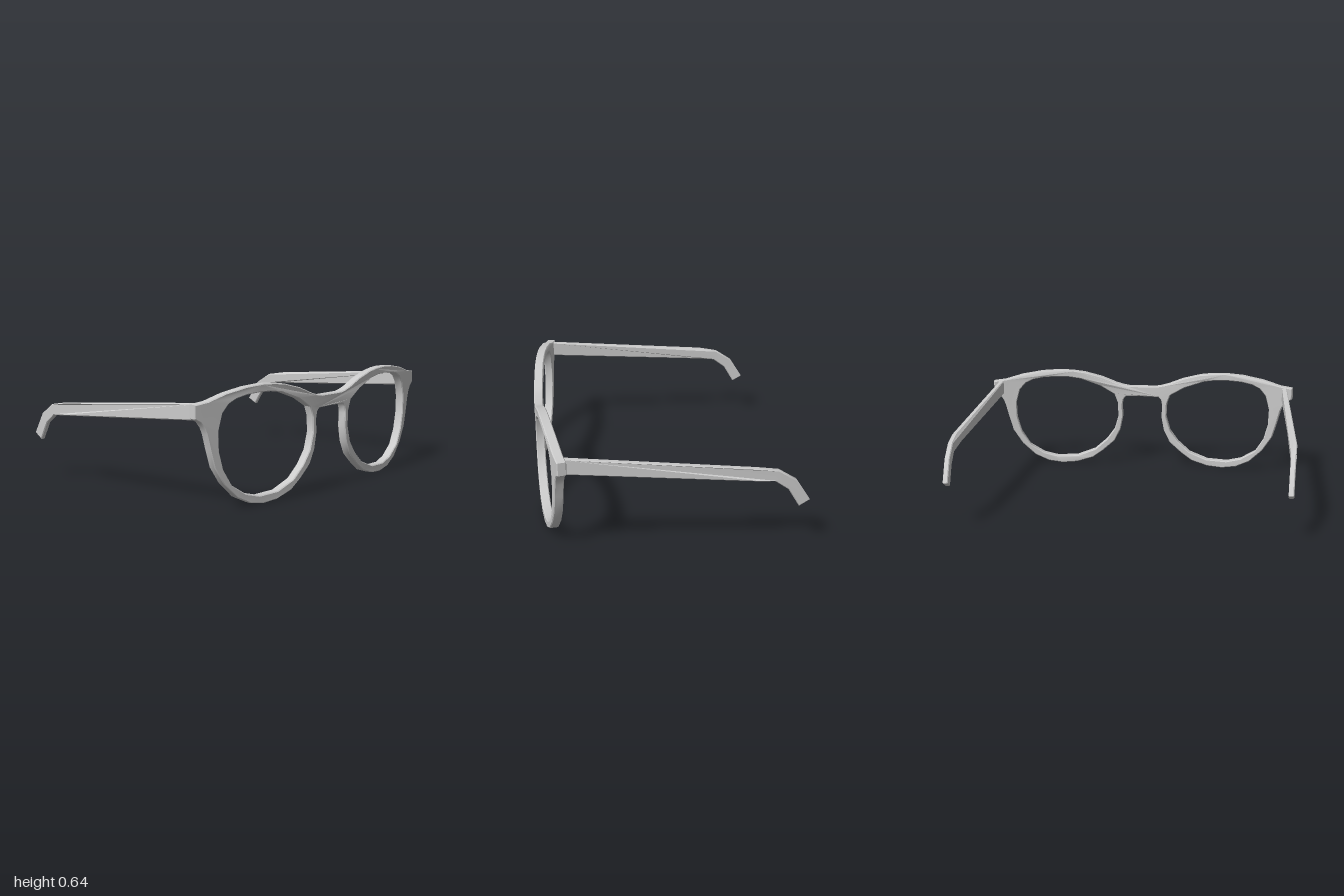
import * as THREE from 'three';
import { toCreasedNormals } from 'three/addons/utils/BufferGeometryUtils.js';

const vecs = (pts) => pts.map(([x, y]) => new THREE.Vector2(x, y));
const mirror = (pts) => pts.map(([x, y]) => [-x, y]).reverse();

// Half of the rim silhouette (x > 0), from the bridge top round to the bridge underside
const outer = [
  [0.09, 0.54], [0.13, 0.547], [0.18, 0.562], [0.275, 0.6], [0.39, 0.63], [0.47, 0.641], [0.56, 0.645],
  [0.675, 0.638], [0.81, 0.615], [0.92, 0.583], [1, 0.573], [1, 0.5], [0.965, 0.48], [0.943, 0.45],
  [0.928, 0.415], [0.908, 0.335], [0.88, 0.235], [0.82, 0.14], [0.735, 0.058], [0.645, 0.015],
  [0.55, 0], [0.45, 0.007], [0.34, 0.04], [0.27, 0.09], [0.19, 0.16], [0.15, 0.24], [0.132, 0.335],
  [0.137, 0.41], [0.129, 0.45], [0.11, 0.47],
];
// Lens opening
const lens = [
  [0.58, 0.602], [0.5, 0.6], [0.42, 0.588], [0.285, 0.54], [0.19, 0.485], [0.167, 0.425], [0.163, 0.335],
  [0.19, 0.24], [0.245, 0.165], [0.325, 0.095], [0.445, 0.05], [0.58, 0.045], [0.675, 0.07], [0.77, 0.13],
  [0.825, 0.22], [0.852, 0.32], [0.855, 0.425], [0.83, 0.515], [0.79, 0.56], [0.74, 0.583], [0.67, 0.597],
];
// Side profile of a temple arm as (z, y)
const arm = [
  [0.6, 0.576], [-0.43, 0.48], [-0.547, 0.46], [-0.648, 0.395], [-0.727, 0.272],
  [-0.667, 0.238], [-0.603, 0.344], [-0.527, 0.398], [-0.43, 0.406], [0.6, 0.487],
];

// Bevelled extrusion, centred in depth, keeping the outline's size
function slab(shape, thickness, bevel) {
  const depth = thickness - 2 * bevel;
  const geo = new THREE.ExtrudeGeometry(shape, {
    depth, bevelThickness: bevel, bevelSize: bevel, bevelOffset: -bevel, bevelSegments: 1,
  });
  return geo.translate(0, 0, -depth / 2);
}

// Moves every vertex by a rule, then rebuilds normals with sharp edges kept
function warp(geo, rule) {
  const p = geo.attributes.position;
  for (let i = 0; i < p.count; i++) p.setXYZ(i, ...rule(p.getX(i), p.getY(i), p.getZ(i)));
  geo.computeVertexNormals();
  return toCreasedNormals(geo, 0.6);
}

// Front frame, wrapped on a large cylinder
function frameGeometry() {
  const shape = new THREE.Shape(vecs([[0, 0.54], ...outer, [0, 0.473], ...mirror(outer)]));
  shape.holes.push(new THREE.Path(vecs(lens)), new THREE.Path(vecs(mirror(lens))));
  const thickness = 0.052, radius = 4.8, front = 0.727;
  return warp(slab(shape, thickness, 0.005), (x, y, z) => {
    const d = thickness / 2 - z;
    const s = x / radius, c = Math.sqrt(1 - s * s);
    return [x - d * s, y, front - radius * (1 - c) - d * c];
  });
}

// Temple arm: bows outward towards the ear, then back in at the tip
function armGeometry(side) {
  const bow = (z) => (z > -0.43
    ? THREE.MathUtils.mapLinear(z, 0.6, -0.43, 0.941, 0.977)
    : THREE.MathUtils.mapLinear(z, -0.43, -0.73, 0.977, 0.957));
  return warp(slab(new THREE.Shape(vecs(arm)), 0.03, 0.005),
    (x, y, z) => [side * bow(x) - z, y, x]);
}

export function createModel() {
  const group = new THREE.Group();
  group.name = 'eyeglasses';
  const material = new THREE.MeshStandardMaterial({ color: 0xcccccc });
  const add = (name, geo) => {
    const mesh = new THREE.Mesh(geo, material);
    mesh.name = name;
    group.add(mesh);
  };
  add('frontFrame', frameGeometry());
  add('leftTemple', armGeometry(1));
  add('rightTemple', armGeometry(-1));
  return group;
}
